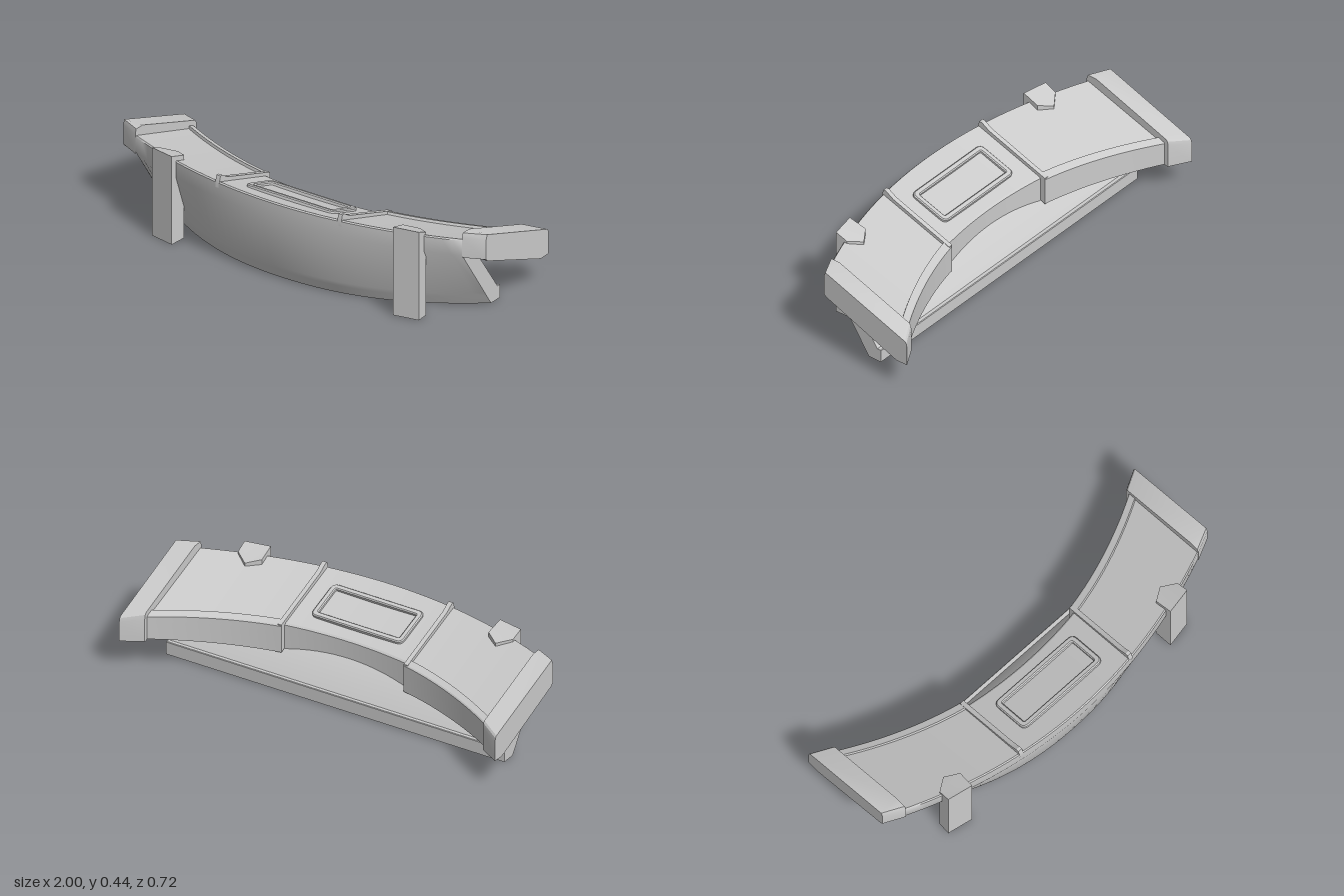
import * as THREE from 'three';
import { toCreasedNormals } from 'three/addons/utils/BufferGeometryUtils.js';

const HALF = 0.9;    // half width between the end caps
const SEAM = 0.325;  // where the centre panel meets the side panels
const SLOPE = 0.32;  // fall of the desk towards the back

const material = new THREE.MeshStandardMaterial({ color: 0xcccccc });
const shellMaterial = new THREE.MeshStandardMaterial({ color: 0xcccccc, side: THREE.DoubleSide });
const lerp = THREE.MathUtils.lerp;
const bow = (x, power = 2) => Math.abs(x / HALF) ** power;
const frontZ = (x) => 0.36 - 0.185 * bow(x);
const sideBackZ = (x) => -0.025 - 0.255 * bow(x);
const centreBackZ = (x) => -0.005 - 0.2 * bow(x);
const deskY = (x, z) => 0.41 - SLOPE * (frontZ(x) - z);

// Skins [z, y] cross-sections placed along x and closes both ends;
// an open loft leaves out the side between the last and first points
function loft(x0, x1, steps, profile, { open = false, crease = 0.4 } = {}) {
  const rows = [];
  for (let i = 0; i <= steps; i++) {
    const x = lerp(x0, x1, i / steps);
    rows.push(profile(x).map(([z, y]) => new THREE.Vector3(x, y, z)));
  }
  const flat = (row) => row.map((p) => new THREE.Vector2(-p.z, p.y));
  if (THREE.ShapeUtils.isClockWise(flat(rows[0]))) rows.forEach((r) => r.reverse());
  const out = [];
  const tri = (...points) => points.forEach((p) => out.push(p.x, p.y, p.z));
  const n = rows[0].length;
  for (let i = 0; i < steps; i++) {
    for (let j = 0; j < (open ? n - 1 : n); j++) {
      const k = (j + 1) % n;
      tri(rows[i][j], rows[i][k], rows[i + 1][k]);
      tri(rows[i][j], rows[i + 1][k], rows[i + 1][j]);
    }
  }
  const first = rows[0], last = rows[steps];
  for (const [a, b, c] of THREE.ShapeUtils.triangulateShape(flat(first), [])) tri(first[a], first[c], first[b]);
  for (const [a, b, c] of THREE.ShapeUtils.triangulateShape(flat(last), [])) tri(last[a], last[b], last[c]);
  const geometry = new THREE.BufferGeometry();
  geometry.setAttribute('position', new THREE.Float32BufferAttribute(out, 3));
  return toCreasedNormals(geometry, crease);
}

// Hollow lower body, open below: bowed front that leans back towards the ends, straight back lip
function bodyProfile(x) {
  const t = bow(x, 2.2), zt = frontZ(x);
  return [
    [lerp(0.285, -0.05, t), 0],
    [lerp(0.305, -0.018, t), 0.045],
    [lerp(0.316, -0.002, t), 0.07],
    [zt, 0.33], [zt, 0.404], [zt - 0.006, 0.41],
    [zt - 0.04, 0.325],
    [0.04, 0.265], [-0.1, 0.065], [-0.117, 0.065], [-0.12, 0.062], [-0.12, 0],
  ];
}

// Sloping desk slab with a bowed front and back
const deskProfile = (backZ) => (x) => {
  const zf = frontZ(x) - 0.006, zb = backZ(x), yb = deskY(x, zb);
  return [
    [zf, 0.325], [zf, 0.41],
    [zb + 0.008, yb + 0.002], [zb, yb - 0.006], [zb, 0.157],
    [zf - 0.024, 0.315],
  ];
};

// Raised border along the back of a side panel
function rimProfile(x) {
  const zb = sideBackZ(x), za = zb + 0.045;
  return [
    [zb, deskY(x, zb) - 0.02], [zb, deskY(x, zb) + 0.008], [zb + 0.006, deskY(x, zb) + 0.014],
    [za - 0.008, deskY(x, za) + 0.011], [za, deskY(x, za) - 0.01],
  ];
}

// Ridge beside the seam between panels
function ribProfile() {
  const zb = sideBackZ(SEAM), y = (z) => deskY(SEAM, z);
  return [
    [0.335, 0.38], [0.335, 0.41], [0.326, 0.437], [0.312, 0.437],
    [0.27, y(0.27) + 0.022], [zb, y(zb) + 0.016], [zb, y(zb) - 0.01],
  ];
}

// Slanted end block, splayed in plan
function capProfile(x) {
  const t = (Math.abs(x) - HALF) / 0.1;
  const zf = lerp(0.178, 0.13, t), zb = lerp(-0.3, -0.357, t);
  const topY = (z) => 0.443 - 0.35 * (0.122 - z);
  return [
    [zf, 0.322], [zf, 0.42], [zf - 0.008, 0.443], [0.121, 0.443],
    [zb + 0.012, topY(zb + 0.012)], [zb + 0.004, topY(zb) - 0.005], [zb, topY(zb) - 0.025],
    [zb, 0.153], [Math.max(zb + 0.01, -0.3), 0.151], [-0.28, 0.157], [0.12, 0.31], [0.129, 0.32],
  ];
}

// Five-sided post with its top sloped like the desk
function pillarGeometry(side) {
  const plan = [[0.667, 0.174], [0.603, 0.217], [0.61, 0.304], [0.735, 0.28], [0.732, 0.22]];
  const shape = new THREE.Shape(plan.map(([x, z]) => new THREE.Vector2(side * x, -z)));
  const geometry = new THREE.ExtrudeGeometry(shape, { depth: 0.443, bevelEnabled: false });
  geometry.rotateX(-Math.PI / 2);
  const p = geometry.attributes.position;
  for (let i = 0; i < p.count; i++) {
    if (p.getY(i) > 0.2) p.setY(i, 0.443 - 0.4 * Math.max(0, 0.28 - p.getZ(i)));
  }
  return toCreasedNormals(geometry, 0.3);
}

function roundedRect(path, w, h, r) {
  const x = w / 2, y = h / 2;
  path.moveTo(-x + r, -y).lineTo(x - r, -y).quadraticCurveTo(x, -y, x, -y + r);
  path.lineTo(x, y - r).quadraticCurveTo(x, y, x - r, y);
  path.lineTo(-x + r, y).quadraticCurveTo(-x, y, -x, y - r);
  path.lineTo(-x, -y + r).quadraticCurveTo(-x, -y, -x + r, -y);
  return path;
}

// Frame around the display in the centre panel
function frameGeometry() {
  const shape = roundedRect(new THREE.Shape(), 0.476, 0.2, 0.025);
  shape.holes.push(roundedRect(new THREE.Path(), 0.44, 0.164, 0.012));
  const geometry = new THREE.ExtrudeGeometry(shape, {
    depth: 0.024, bevelSize: 0.005, bevelThickness: 0.005, bevelSegments: 1, curveSegments: 4,
  });
  return toCreasedNormals(geometry, 0.5);
}

export function createModel() {
  const model = new THREE.Group();
  model.name = 'curvedConsole';
  const add = (name, geometry, mat = material) => {
    const mesh = new THREE.Mesh(geometry, mat);
    mesh.name = name;
    model.add(mesh);
    return mesh;
  };

  add('body', loft(-HALF, HALF, 40, bodyProfile, { open: true, crease: 0.75 }), shellMaterial);
  add('centrePanel', loft(-SEAM, SEAM, 16, deskProfile(centreBackZ)));

  for (const side of [-1, 1]) {
    const label = side > 0 ? 'left' : 'right';
    // Runs a loft between two distances from the middle, on this side
    const span = (a, b, steps, profile) =>
      loft(Math.min(side * a, side * b), Math.max(side * a, side * b), steps, profile);
    add(label + 'Panel', span(SEAM, HALF, 14, deskProfile(sideBackZ)));
    add(label + 'PanelRim', span(SEAM, HALF, 14, rimProfile));
    add(label + 'SeamRib', span(SEAM, SEAM + 0.022, 1, ribProfile));
    add(label + 'EndCap', span(HALF, 1, 1, capProfile));
    add(label + 'Pillar', pillarGeometry(side));
  }

  // Frame lying on the sloped centre panel
  const frame = add('displayFrame', frameGeometry());
  frame.position.set(0, deskY(0, 0.163) - 0.012, 0.159);
  frame.rotation.x = -Math.PI / 2 - Math.atan(SLOPE);

  return model;
}
